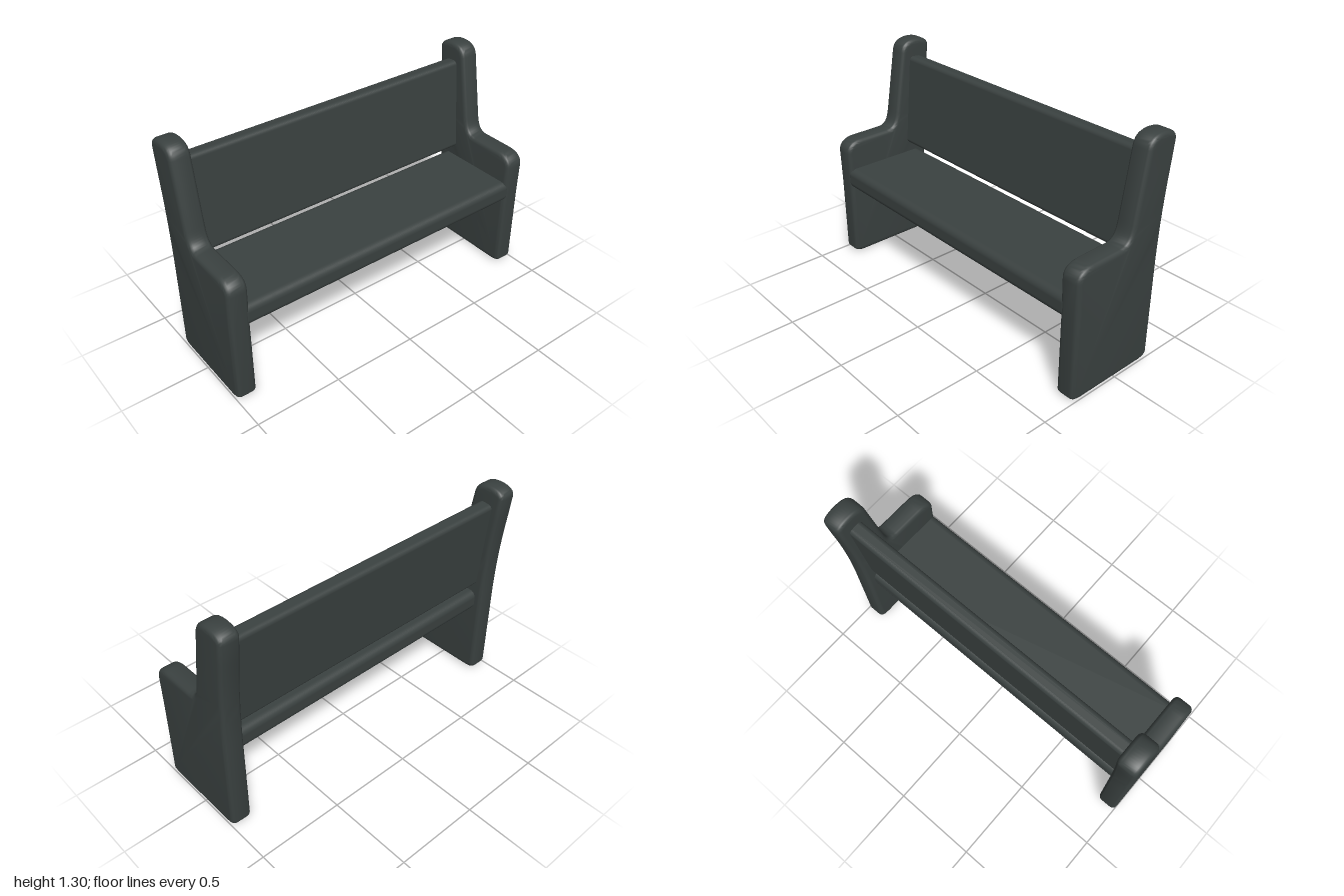
import * as THREE from 'three';
import { toCreasedNormals } from 'three/addons/utils/BufferGeometryUtils.js';
import { RoundedBoxGeometry } from 'three/addons/geometries/RoundedBoxGeometry.js';

// Side outline drawn with horizontal axis u = -z and vertical axis y
function sideOutline() {
  const s = new THREE.Shape();
  s.moveTo(-0.25, 0.005);
  s.lineTo(0.19, 0.005);
  s.quadraticCurveTo(0.256, 0.008, 0.256, 0.045);
  s.lineTo(0.26, 0.6);
  s.bezierCurveTo(0.265, 0.85, 0.287, 1.02, 0.302, 1.13);
  s.lineTo(0.315, 1.245);
  s.bezierCurveTo(0.318, 1.283, 0.275, 1.303, 0.215, 1.303);
  s.bezierCurveTo(0.155, 1.303, 0.125, 1.28, 0.115, 1.235);
  s.lineTo(0.054, 0.87);
  s.bezierCurveTo(0.042, 0.805, 0.03, 0.77, -0.025, 0.77);
  s.lineTo(-0.21, 0.768);
  s.bezierCurveTo(-0.275, 0.768, -0.315, 0.74, -0.315, 0.69);
  s.lineTo(-0.311, 0.5);
  s.lineTo(-0.311, 0.035);
  s.quadraticCurveTo(-0.311, 0.008, -0.25, 0.005);
  return s;
}

export function createModel() {
  const group = new THREE.Group();
  group.name = 'bench';
  const grey = new THREE.MeshStandardMaterial({ color: 0x3a4140 });
  grey.name = 'dark grey';

  const add = (name, geometry, x, y, z) => {
    const mesh = new THREE.Mesh(geometry, grey);
    mesh.name = name;
    mesh.position.set(x, y, z);
    group.add(mesh);
    return mesh;
  };

  // Solid end panels with softly rounded edges
  const bevel = 0.028;
  const width = 0.118;
  const panel = new THREE.ExtrudeGeometry(sideOutline(), {
    depth: width - 2 * bevel,
    bevelThickness: bevel,
    bevelSize: bevel,
    bevelOffset: -bevel,
    bevelSegments: 5,
    curveSegments: 10,
  });
  panel.center();
  panel.rotateY(Math.PI / 2);
  const smoothPanel = toCreasedNormals(panel, 0.6);
  for (const [side, sign] of [['left', 1], ['right', -1]]) {
    add(side + 'EndPanel', smoothPanel, sign * (1 - width / 2), 0.654, 0);
    // Cleat that carries the seat
    add(side + 'SeatCleat', new RoundedBoxGeometry(0.09, 0.05, 0.44, 3, 0.015),
      sign * 0.85, 0.477, 0.05);
  }

  // Seat plank, with its ends buried in the panels
  add('seat', new RoundedBoxGeometry(1.86, 0.126, 0.52, 5, 0.04), 0, 0.525, 0.05);

  // Backrest plank, leaning back
  const backrest = add('backrest',
    new RoundedBoxGeometry(1.86, 0.555, 0.088, 5, 0.025), 0, 0.922, -0.187);
  backrest.rotation.x = -0.09;

  return group;
}
